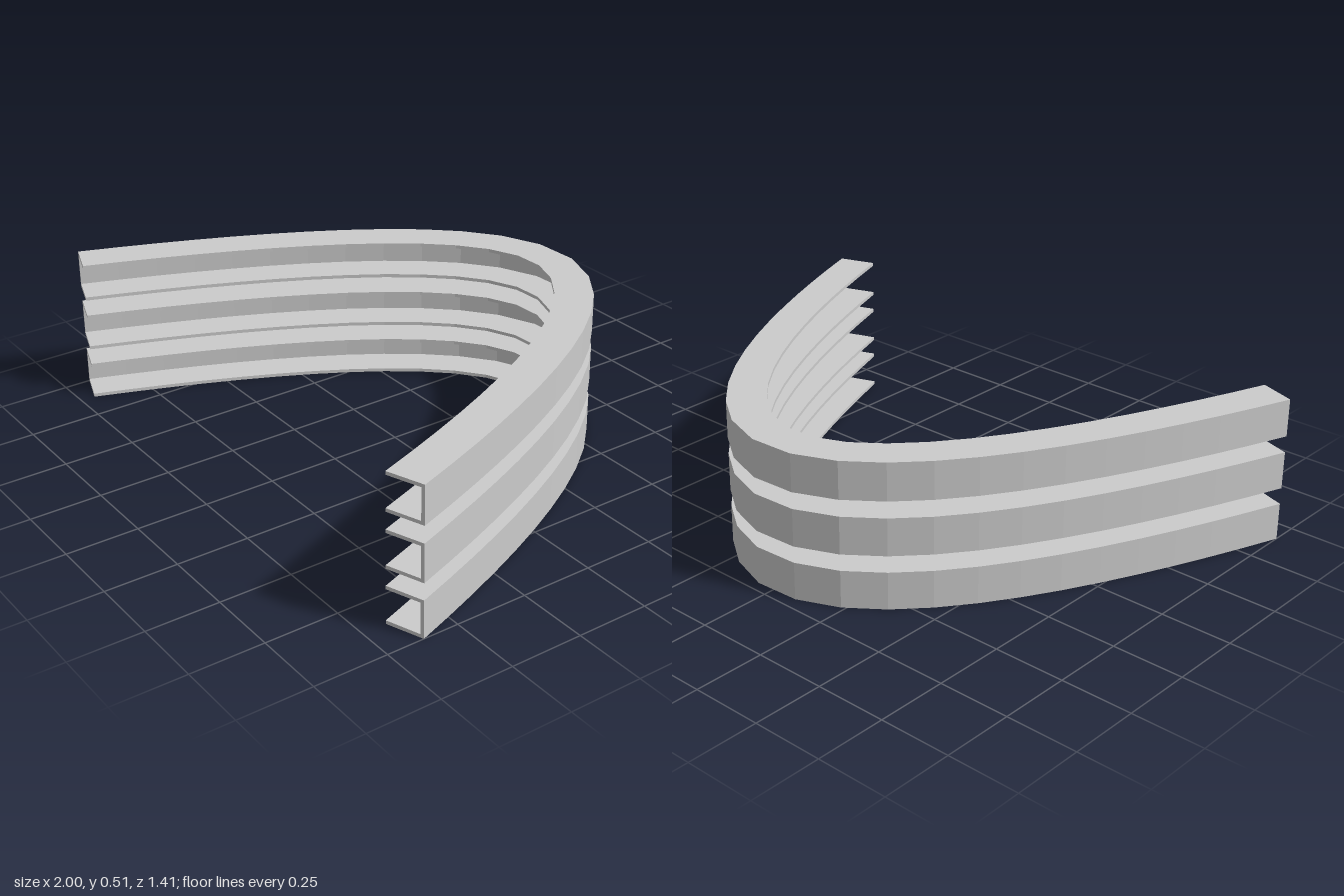
import * as THREE from 'three';

const SIZE = 0.132;   // height and depth of one channel
const WALL = 0.012;   // sheet thickness
const PITCH = 0.19;   // vertical distance between channels
const STEPS = 25;     // facets along the arch

// Centre line of the arch, seen from above (x, y, z)
const path = new THREE.QuadraticBezierCurve3(
  new THREE.Vector3(-0.938, 0, 0.677),
  new THREE.Vector3(0, 0, -1.965),
  new THREE.Vector3(0.938, 0, 0.645)
);

// C-shaped section: web on the outside (+x), open towards the inside (-x)
function channelSection() {
  const h = SIZE / 2;
  return new THREE.Shape([
    [-h, 0], [h, 0], [h, SIZE], [-h, SIZE],
    [-h, SIZE - WALL], [h - WALL, SIZE - WALL], [h - WALL, WALL], [-h, WALL],
  ].map(([x, y]) => new THREE.Vector2(x, y)));
}

// Extrude the section straight, then bend it along the path
function bentChannel() {
  const geometry = new THREE.ExtrudeGeometry(channelSection(), { depth: 1, steps: STEPS, bevelEnabled: false });
  const up = new THREE.Vector3(0, 1, 0);
  const frames = [];
  for (let i = 0; i <= STEPS; i++) {
    const t = i / STEPS;
    frames.push({
      centre: path.getPointAt(t),
      outward: new THREE.Vector3().crossVectors(up, path.getTangentAt(t)).normalize(),
    });
  }
  const pos = geometry.attributes.position;
  for (let i = 0; i < pos.count; i++) {
    const { centre, outward } = frames[Math.round(pos.getZ(i) * STEPS)];
    const d = pos.getX(i);
    pos.setXYZ(i, centre.x + outward.x * d, pos.getY(i), centre.z + outward.z * d);
  }
  geometry.computeVertexNormals();
  return geometry;
}

export function createModel() {
  const group = new THREE.Group();
  group.name = 'stackedArchChannels';
  const material = new THREE.MeshStandardMaterial({ color: 0xcccccc, flatShading: true });
  const geometry = bentChannel();

  // Three identical channels, one above the other
  ['lowerChannel', 'middleChannel', 'upperChannel'].forEach((name, i) => {
    const channel = new THREE.Mesh(geometry, material);
    channel.name = name;
    channel.position.y = i * PITCH;
    group.add(channel);
  });
  return group;
}
